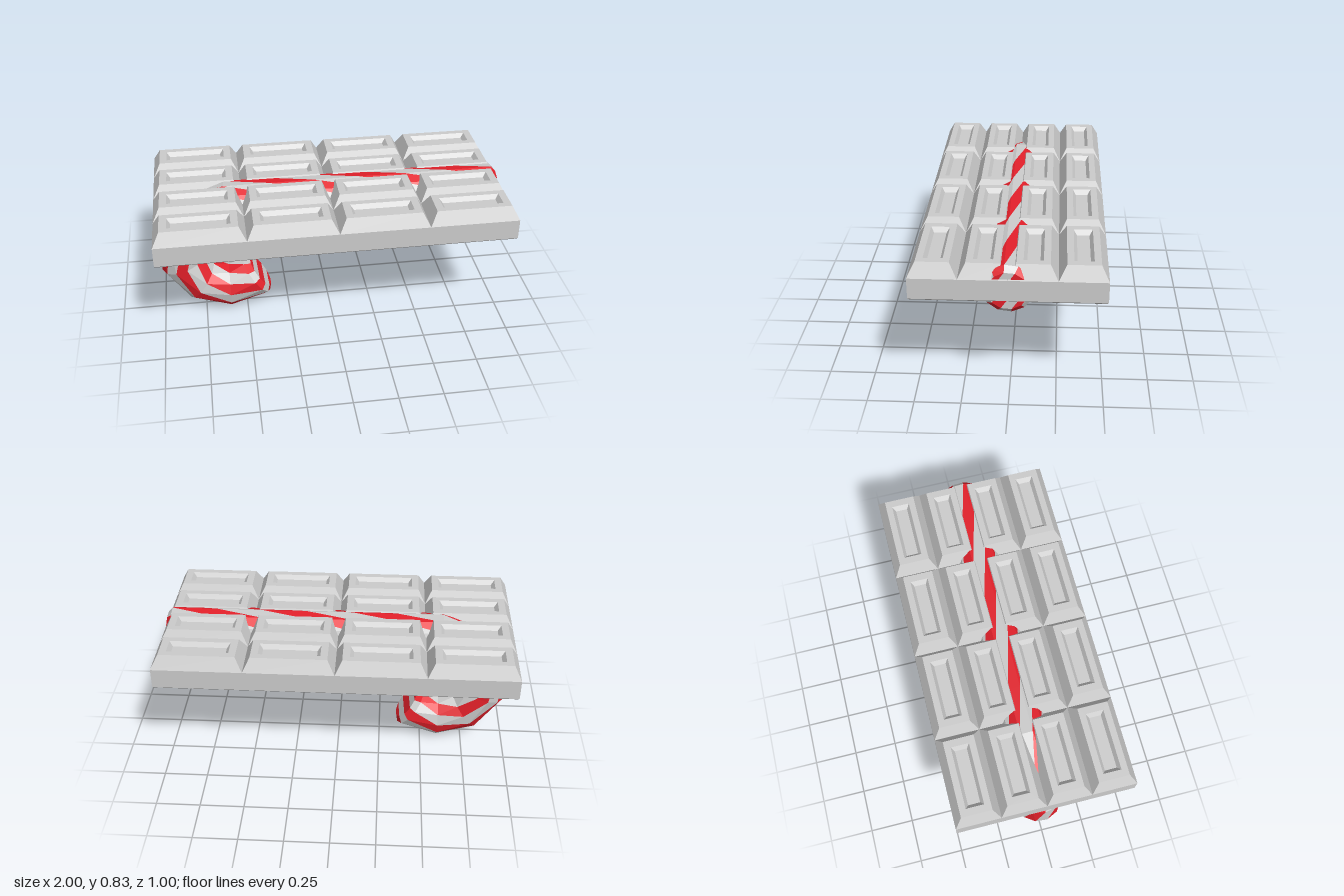
import * as THREE from 'three';

const grey = new THREE.MeshStandardMaterial({ color: 0xcccccc, flatShading: true });
const red = new THREE.MeshStandardMaterial({ color: 0xe3202a, flatShading: true });

// Collects four-cornered faces (counter-clockwise from outside) into a geometry
class Faces {
  constructor() { this.pos = []; }
  quad(a, b, c, d) {
    for (const p of [a, b, c, a, c, d]) this.pos.push(...p);
  }
  mesh(name, material) {
    const g = new THREE.BufferGeometry();
    g.setAttribute('position', new THREE.Float32BufferAttribute(this.pos, 3));
    g.computeVertexNormals();
    const m = new THREE.Mesh(g, material);
    m.name = name;
    return m;
  }
}

// Stacks rectangles [halfX, halfZ, y] from bottom to top
function loftRects(rects, closeBottom, closeTop) {
  const f = new Faces();
  const rings = rects.map(([x, z, y]) => [[x, y, z], [x, y, -z], [-x, y, -z], [-x, y, z]]);
  for (let k = 0; k < rings.length - 1; k++) {
    const a = rings[k], b = rings[k + 1];
    for (let i = 0; i < 4; i++) {
      const j = (i + 1) % 4;
      f.quad(a[i], a[j], b[j], b[i]);
    }
  }
  if (closeBottom) f.quad(...rings[0].slice().reverse());
  if (closeTop) f.quad(...rings[rings.length - 1]);
  return f;
}

function makeBar() {
  const bar = new THREE.Group();
  bar.name = 'chocolateBar';
  bar.add(loftRects([[0.99, 0.49, 0.63], [1, 0.5, 0.64], [1, 0.5, 0.755]], true, true).mesh('barBase', grey));

  // Sloped squares with a sunken panel, 4 by 4
  const tile = loftRects([
    [0.25, 0.125, 0.755], [0.21, 0.085, 0.83], [0.17, 0.05, 0.83], [0.15, 0.033, 0.805],
  ], false, true).mesh('barSquare', grey);
  for (let i = 0; i < 4; i++) {
    for (let k = 0; k < 4; k++) {
      const t = tile.clone();
      t.position.set(-0.75 + i * 0.5, 0, -0.375 + k * 0.25);
      bar.add(t);
    }
  }
  return bar;
}

function makeCane() {
  const SIDES = 12, R = 0.135, BEND = 0.28, CX = -0.6, CY = 0.415;
  const TWIST = THREE.MathUtils.degToRad(113);
  const rings = [];

  // One ring: centre, outward direction in the xy plane, radius, distance along the cane
  function addRing(cx, cy, nx, ny, r, u) {
    const ring = [];
    for (let i = 0; i < SIDES; i++) {
      const a = TWIST * (u - 0.24) + (i - 0.5) * (2 * Math.PI / SIDES);
      const c = Math.cos(a) * r;
      ring.push([cx + nx * c, cy + ny * c, Math.sin(a) * r]);
    }
    rings.push(ring);
  }

  // Straight shaft with a bevelled end
  addRing(0.997, CY + BEND, 0, 1, 0.105, 0.997);
  for (let k = 0; k < 6; k++) {
    const x = 0.97 + (CX - 0.97) * k / 6;
    addRing(x, CY + BEND, 0, 1, R, x);
  }
  // Hook
  for (let k = 0; k <= 6; k++) {
    const t = Math.PI / 2 + k * Math.PI / 5;
    const nx = Math.cos(t), ny = Math.sin(t);
    const u = CX - BEND * k * Math.PI / 5;
    addRing(CX + nx * BEND, CY + ny * BEND, nx, ny, R, u);
    // Bevelled tip
    if (k === 6) addRing(CX + nx * BEND - ny * 0.03, CY + ny * BEND + nx * 0.03, nx, ny, 0.105, u);
  }

  // Alternate facets carry the two stripe colours
  const stripes = [new Faces(), new Faces()];
  for (let k = 0; k < rings.length - 1; k++) {
    const a = rings[k], b = rings[k + 1];
    for (let i = 0; i < SIDES; i++) {
      const j = (i + 1) % SIDES;
      stripes[i % 2].quad(a[i], b[i], b[j], a[j]);
    }
  }
  // Striped end caps
  function cap(ring, start, flip) {
    const at = (i) => ring[(start + i) % SIDES];
    for (let i = 0; i < SIDES / 2 - 1; i++) {
      const q = [at(i), at(i + 1), at(SIDES - 2 - i), at(SIDES - 1 - i)];
      stripes[i % 2].quad(...(flip ? q.reverse() : q));
    }
  }
  cap(rings[0], 0, false);
  cap(rings[rings.length - 1], 8, true);

  const cane = new THREE.Group();
  cane.name = 'candyCane';
  cane.add(stripes[0].mesh('redStripes', red), stripes[1].mesh('paleStripes', grey));
  return cane;
}

export function createModel() {
  const model = new THREE.Group();
  model.name = 'candyCaneChocolate';
  model.add(makeBar(), makeCane());
  return model;
}
